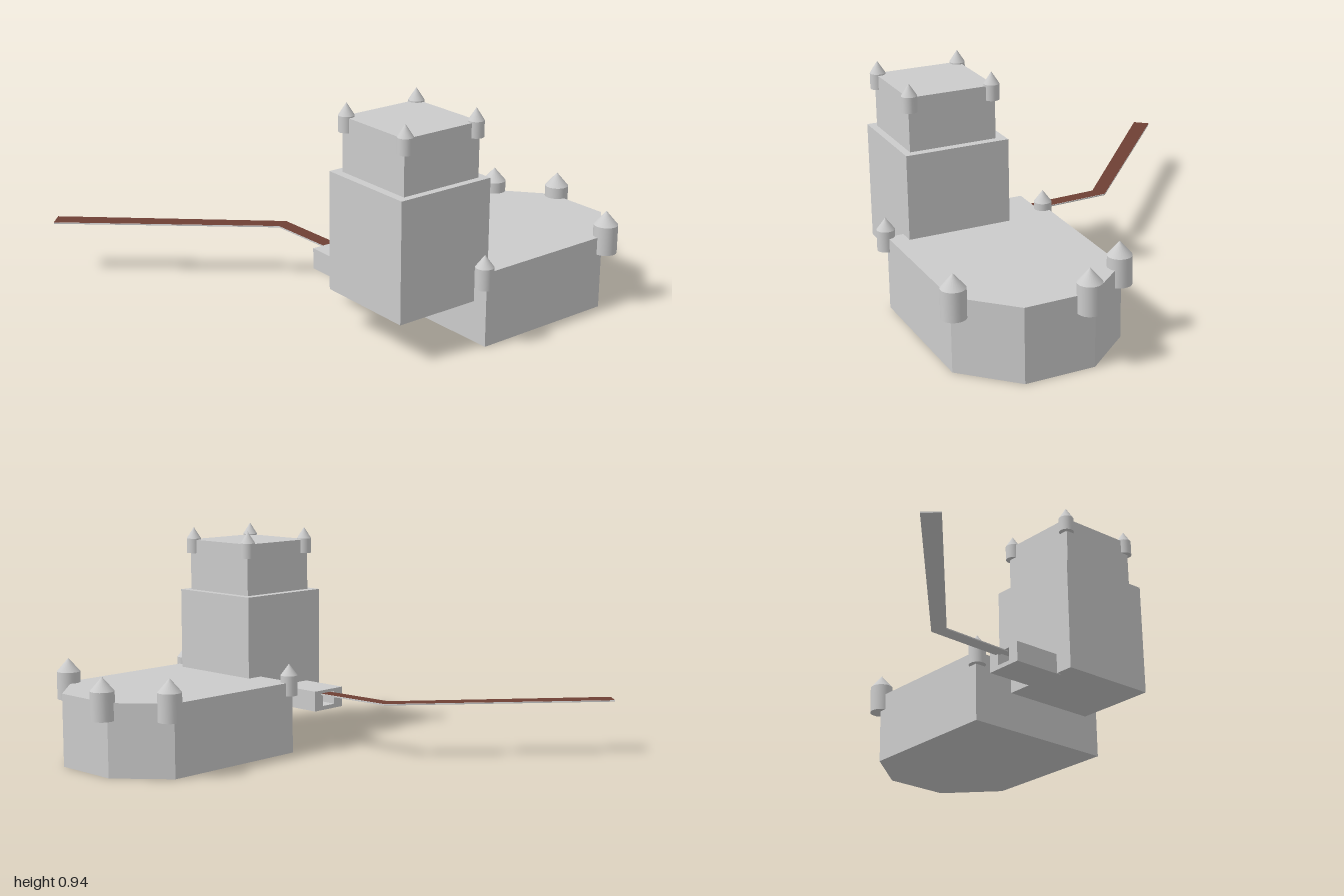
import * as THREE from 'three';

const stone = new THREE.MeshStandardMaterial({ color: 0xcccccc });
const wood = new THREE.MeshStandardMaterial({ color: 0x6e4034 });
const TURN = -0.148; // the keep and gate are turned slightly about y

function add(parent, name, geometry, material = stone) {
  const mesh = new THREE.Mesh(geometry, material);
  mesh.name = name;
  parent.add(mesh);
  return mesh;
}

// Plan outline given as [x, z] points
const plan = (points) => new THREE.Shape(points.map(([x, z]) => new THREE.Vector2(x, -z)));

// Plan outline raised from y0 to y1
function prism(points, y0, y1) {
  const g = new THREE.ExtrudeGeometry(plan(points), { depth: y1 - y0, bevelEnabled: false });
  return g.rotateX(-Math.PI / 2).translate(0, y0, 0);
}

// Round turret with a conical roof
function turret(parent, name, x, z, r, bottom, shoulder, tip) {
  const group = new THREE.Group();
  group.name = name;
  group.position.set(x, 0, z);
  const body = add(group, 'turretBody', new THREE.CylinderGeometry(r, r, shoulder - bottom, 24));
  body.position.y = (bottom + shoulder) / 2;
  const roof = add(group, 'turretRoof', new THREE.ConeGeometry(r, tip - shoulder, 24, 1, true));
  roof.position.y = (shoulder + tip) / 2;
  parent.add(group);
}

function createBastion() {
  const bastion = new THREE.Group();
  bastion.name = 'bastion';
  const outline = [[-0.02, 0.155], [0.64, 0.255], [0.785, 0.485],
    [0.745, 0.775], [0.51, 0.945], [-0.12, 0.855]];
  add(bastion, 'bastionWalls', prism(outline, 0, 0.31));
  for (const [x, z] of [[0.65, 0.27], [0.785, 0.51], [0.533, 0.945]])
    turret(bastion, 'largeTurret', x, z, 0.05, 0.237, 0.357, 0.415);
  for (const [x, z] of [[-0.015, 0.17], [-0.133, 0.853]])
    turret(bastion, 'smallTurret', x, z, 0.037, 0.253, 0.34, 0.39);
  return bastion;
}

function createKeep() {
  const keep = new THREE.Group();
  keep.name = 'keep';
  keep.position.set(-0.228, 0, 0.546);
  keep.rotation.y = TURN;
  add(keep, 'lowerKeep', new THREE.BoxGeometry(0.44, 0.495, 0.44)).position.y = 0.4175;
  add(keep, 'upperKeep', new THREE.BoxGeometry(0.37, 0.225, 0.37)).position.set(0, 0.7775, 0.005);
  for (const sx of [-1, 1]) for (const sz of [-1, 1])
    turret(keep, 'keepTurret', sx * 0.174, 0.005 + sz * 0.176, 0.032, 0.83, 0.895, 0.945);
  return keep;
}

function createGate() {
  // Block with a square passage, open at the back
  const face = new THREE.Shape();
  face.moveTo(-0.085, 0.167).lineTo(0.085, 0.167).lineTo(0.085, 0.255).lineTo(-0.085, 0.255).closePath();
  const opening = new THREE.Path();
  opening.moveTo(-0.035, 0.185).lineTo(-0.035, 0.242).lineTo(0.035, 0.242).lineTo(0.035, 0.185).closePath();
  face.holes.push(opening);
  const gate = new THREE.Group();
  gate.name = 'gate';
  gate.position.set(-0.216, 0, 0.103);
  gate.rotation.y = TURN;
  add(gate, 'gatehouse', new THREE.ExtrudeGeometry(face, { depth: 0.24, bevelEnabled: false }));
  return gate;
}

function createCauseway() {
  const causeway = new THREE.Group();
  causeway.name = 'causeway';
  const outline = [[-0.23, 0.115], [-0.17, 0.12], [-0.132, -0.243],
    [-0.778, -1], [-0.836, -0.952], [-0.196, -0.222]];
  add(causeway, 'causewayUnderside', prism(outline, 0.235, 0.24));
  const deck = new THREE.ShapeGeometry(plan(outline)).rotateX(-Math.PI / 2);
  add(causeway, 'causewayDeck', deck, wood).position.y = 0.2415;
  return causeway;
}

export function createModel() {
  const model = new THREE.Group();
  model.name = 'castle';
  model.add(createBastion(), createKeep(), createGate(), createCauseway());
  return model;
}
